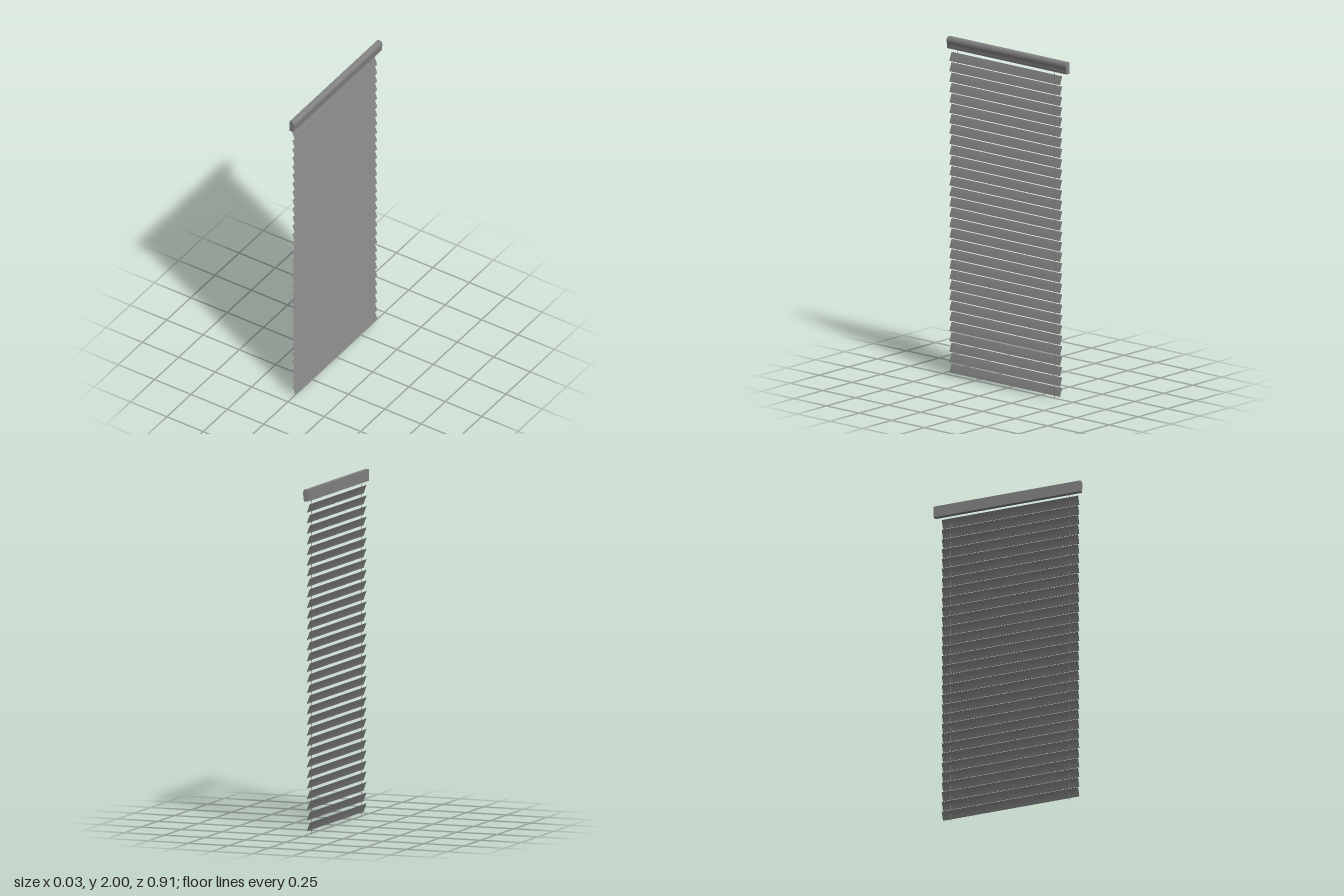
import * as THREE from 'three';
import { toCreasedNormals } from 'three/addons/utils/BufferGeometryUtils.js';

const material = new THREE.MeshStandardMaterial({ color: 0x868686 });

// Extrude an x-y outline along z, centred on the given z, smooth along shallow curves
function extrudeProfile(points, length, zCentre) {
  const shape = new THREE.Shape(points.map(([x, y]) => new THREE.Vector2(x, y)));
  const geometry = new THREE.ExtrudeGeometry(shape, { depth: length, bevelEnabled: false });
  geometry.translate(0, 0, zCentre - length / 2);
  return toCreasedNormals(geometry, 0.6);
}

function addPart(parent, name, geometry) {
  const mesh = new THREE.Mesh(geometry, material);
  mesh.name = name;
  parent.add(mesh);
  return mesh;
}

// Thin, slightly bowed strip: lower edge towards +x, upper edge towards -x
function slatProfile(rise, run, bow, thickness) {
  const outer = [], inner = [];
  const steps = 4;
  for (let i = 0; i <= steps; i++) {
    const t = i / steps - 0.5;
    const x = -run * t + bow * (1 - 4 * t * t);
    const y = rise * t;
    outer.push([x + thickness / 2, y]);
    inner.unshift([x - thickness / 2, y]);
  }
  return outer.concat(inner);
}

export function createModel() {
  const blind = new THREE.Group();
  blind.name = 'windowBlind';

  // Head rail with a softly moulded face on +x
  const railProfile = [
    [-0.017, 1.932], [0.008, 1.932], [0.0095, 1.94], [0.0095, 1.95], [0.0105, 1.96],
    [0.013, 1.969], [0.014, 1.977], [0.0135, 1.985], [0.011, 1.993], [0.006, 2], [-0.017, 2],
  ];
  addPart(blind, 'headRail', extrudeProfile(railProfile, 0.914, 0));

  // Tilted slats
  const slatGeometry = extrudeProfile(slatProfile(0.05, 0.018, 0.001, 0.001), 0.848, 0.015);
  const slats = new THREE.Group();
  slats.name = 'slats';
  blind.add(slats);
  const count = 31, bottomY = 0.043, topY = 1.885;
  for (let i = 0; i < count; i++) {
    const slat = addPart(slats, 'slat', slatGeometry);
    slat.position.y = bottomY + (topY - bottomY) * i / (count - 1);
  }

  // Cords threaded through the slats
  const cordTop = 1.94;
  for (const z of [-0.357, 0.384]) {
    const cord = addPart(blind, 'cord', new THREE.CylinderGeometry(0.0015, 0.0015, cordTop, 8));
    cord.position.set(0, cordTop / 2, z);
  }

  return blind;
}
